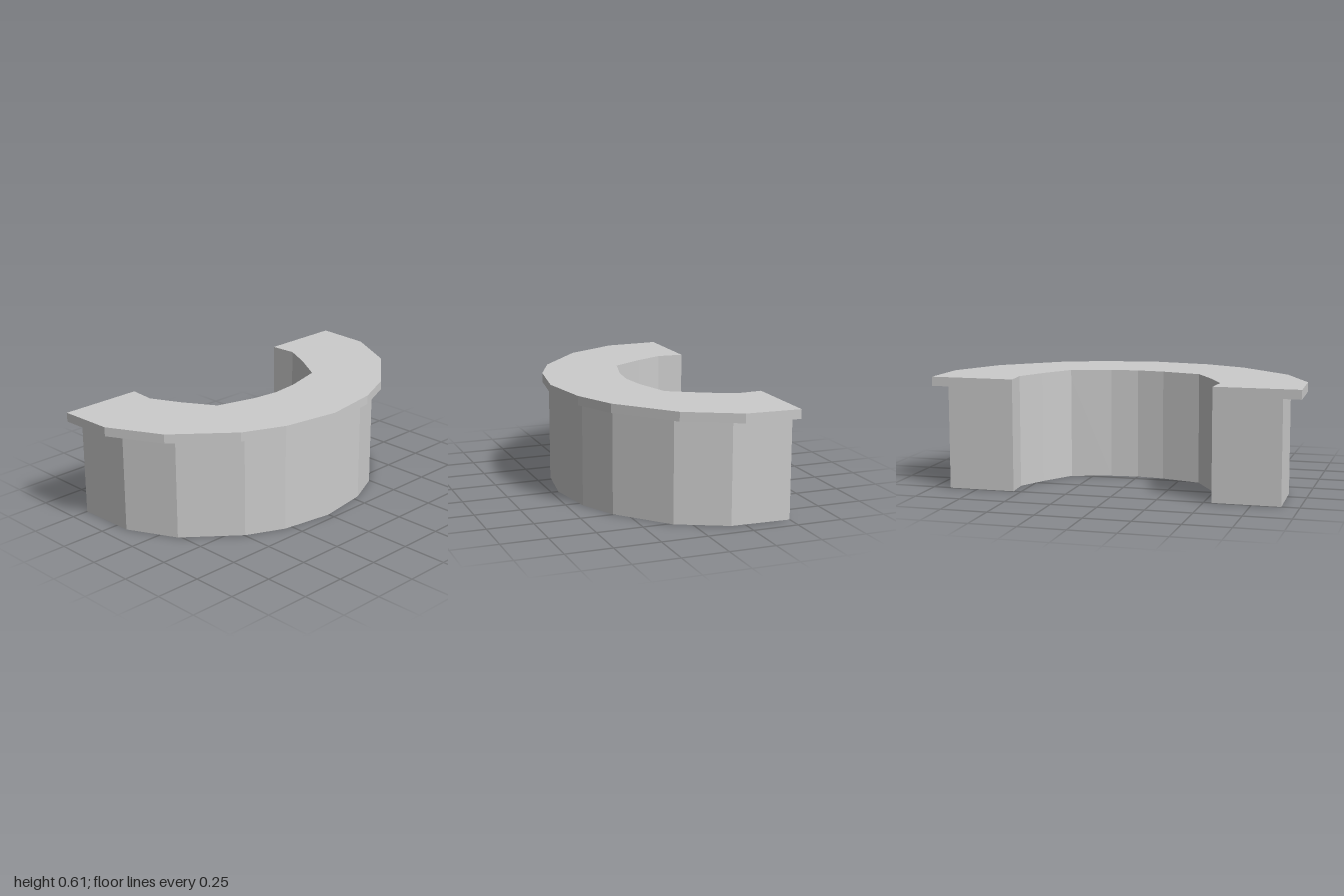
import * as THREE from 'three';

// Half outlines as [x, z], mirrored across z = 0
const counterOuter = [[-0.5, 1], [-0.2, 0.988], [0.09, 0.837], [0.345, 0.543], [0.445, 0.315], [0.495, 0]];
const baseOuter = [[-0.5, 0.905], [-0.175, 0.895], [0.09, 0.765], [0.32, 0.495], [0.415, 0.29], [0.46, 0]];
const inner = [[-0.5, 0.542], [-0.355, 0.552], [-0.197, 0.475], [-0.02, 0.367], [0.04, 0.15], [0.057, 0]];

// Full run of points from the +z end round to the -z end
const mirrored = (half) => [...half, ...half.slice(0, -1).reverse().map(([x, z]) => [x, -z])];

function extrudeRing(outer, bottom, top) {
  const outline = [...mirrored(outer), ...mirrored(inner).reverse()];
  const shape = new THREE.Shape(outline.map(([x, z]) => new THREE.Vector2(x, -z)));
  const geometry = new THREE.ExtrudeGeometry(shape, { depth: top - bottom, bevelEnabled: false });
  return geometry.rotateX(-Math.PI / 2).translate(0, bottom, 0);
}

// Keep only the upright walls, leaving the underside open
function wallsOnly(geometry) {
  const { start, count } = geometry.groups[1];
  const walls = new THREE.BufferGeometry();
  const values = geometry.attributes.position.array.slice(start * 3, (start + count) * 3);
  walls.setAttribute('position', new THREE.BufferAttribute(values, 3));
  walls.computeVertexNormals();
  return walls;
}

export function createModel() {
  const group = new THREE.Group();
  group.name = 'curvedCounter';
  const material = new THREE.MeshStandardMaterial({ color: 0xcccccc, flatShading: true, side: THREE.DoubleSide });

  // Hollow base walls
  const base = new THREE.Mesh(wallsOnly(extrudeRing(baseOuter, 0, 0.555)), material);
  base.name = 'baseWalls';

  // Slab overhanging the outer curve
  const slab = new THREE.Mesh(extrudeRing(counterOuter, 0.555, 0.605), material);
  slab.name = 'counterTop';

  group.add(base, slab);
  return group;
}
